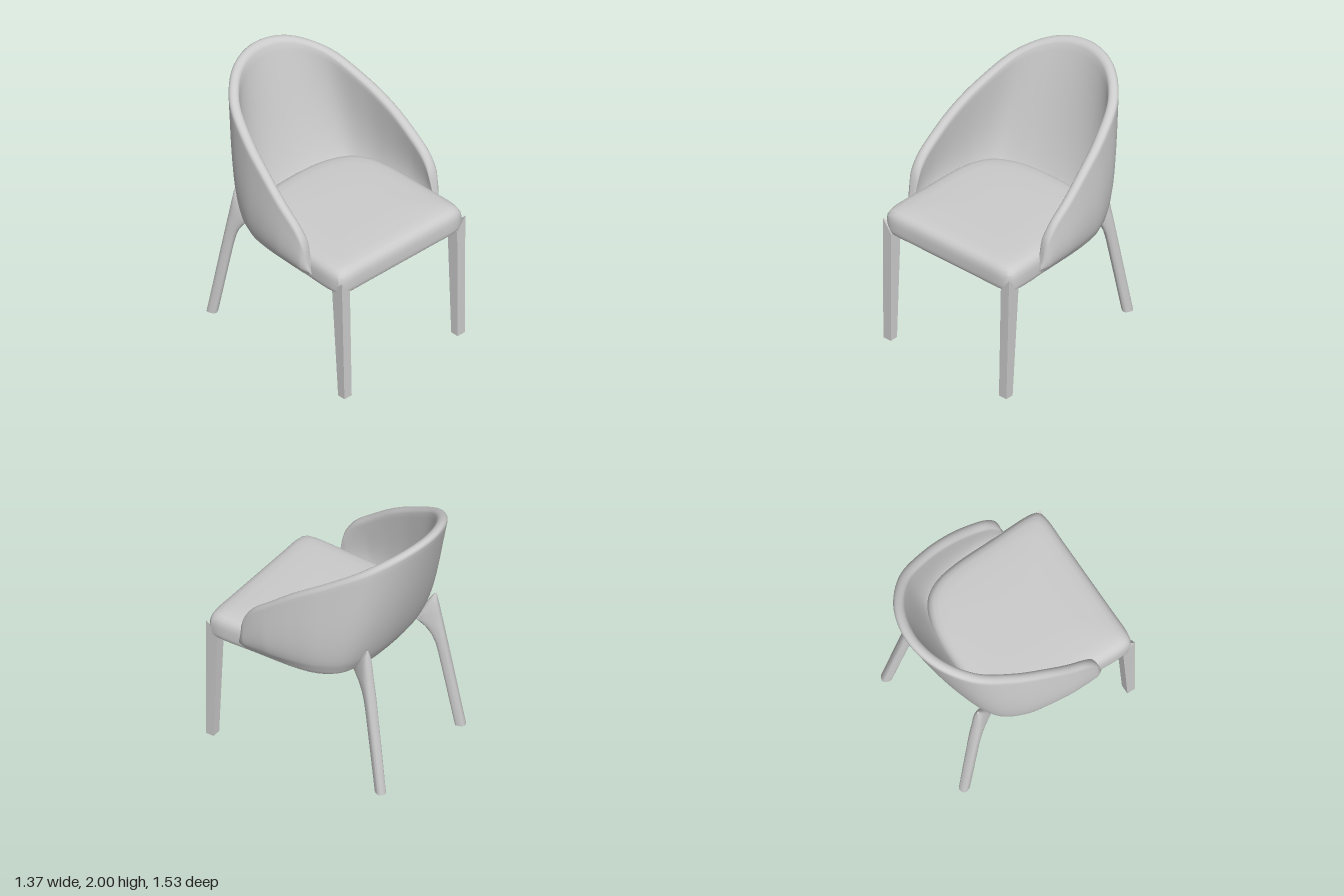
import * as THREE from 'three';
import { toCreasedNormals } from 'three/addons/utils/BufferGeometryUtils.js';

const V = (x, y, z) => new THREE.Vector3(x, y, z);
const material = new THREE.MeshStandardMaterial({ color: 0xcccccc });

// Skin a list of closed rings and cap both ends
function loft(rings, crease) {
  const n = rings[0].length, pos = [], index = [];
  rings.forEach(r => r.forEach(p => pos.push(p.x, p.y, p.z)));
  for (let i = 0; i < rings.length - 1; i++) {
    for (let j = 0; j < n; j++) {
      const a = i * n + j, b = i * n + (j + 1) % n;
      index.push(a, b, b + n, a, b + n, a + n);
    }
  }
  [0, rings.length - 1].forEach((i, end) => {
    const c = rings[i].reduce((s, p) => s.add(p), V(0, 0, 0)).divideScalar(n);
    const ci = pos.length / 3;
    pos.push(c.x, c.y, c.z);
    for (let j = 0; j < n; j++) {
      const a = i * n + j, b = i * n + (j + 1) % n;
      if (end) index.push(ci, a, b); else index.push(ci, b, a);
    }
  });
  const g = new THREE.BufferGeometry();
  g.setAttribute('position', new THREE.Float32BufferAttribute(pos, 3));
  g.setIndex(index);
  return toCreasedNormals(g, crease);
}

function add(group, name, geometry) {
  const mesh = new THREE.Mesh(geometry, material);
  mesh.name = name;
  group.add(mesh);
}

// Upholstered seat: one plan outline, inset layer by layer
function seatGeometry() {
  const half = [[0.3, 0.752], [0.53, 0.748], [0.583, 0.726], [0.602, 0.66], [0.597, 0.35], [0.585, 0],
    [0.555, -0.15], [0.48, -0.27], [0.3, -0.36]];
  const pts = [[0, 0.752], ...half, [0, -0.39], ...half.slice().reverse().map(([x, z]) => [-x, z])];
  const outline = new THREE.CatmullRomCurve3(pts.map(([x, z]) => V(x, 0, z)), true).getSpacedPoints(120).slice(0, -1);
  const layers = [[0.885, 0.01], [0.897, 0.002], [0.92, 0], [0.98, 0], [1.015, 0.005], [1.04, 0.018],
    [1.058, 0.04], [1.068, 0.075], [1.074, 0.14], [1.079, 0.3], [1.08, 0.5]];
  return loft(layers.map(([y, inset]) => {
    const k = 1 - inset / 0.6;
    return outline.map(p => V(p.x * k, y, 0.17 + (p.z - 0.17) * k));
  }), 0.55);
}

// Wraparound back: padded columns swept between a base curve and a rim curve
function shellGeometry() {
  const base = [[0.598, 0.945, 0.452], [0.597, 0.945, 0.39], [0.594, 0.945, 0.28], [0.59, 0.945, 0.15],
    [0.58, 0.945, 0], [0.55, 0.945, -0.16], [0.465, 0.945, -0.3], [0.25, 0.945, -0.37], [0, 0.945, -0.388]];
  const rim = [[0.602, 1.0, 0.44], [0.614, 1.15, 0.4], [0.622, 1.26, 0.325], [0.622, 1.37, 0.19],
    [0.602, 1.515, 0], [0.55, 1.665, -0.24], [0.44, 1.825, -0.5], [0.24, 1.93, -0.67], [0, 1.962, -0.727]];
  const curve = half => new THREE.CatmullRomCurve3(
    [...half, ...half.slice(0, -1).reverse().map(([x, y, z]) => [-x, y, z])].map(p => V(...p)));
  const low = curve(base), high = curve(rim);
  const columns = 112, steps = 18, arc = 8, rings = [];
  for (let i = 0; i <= columns; i++) {
    const t = i / columns;
    const B = low.getPoint(t), T = high.getPoint(t);
    const tan = low.getTangent(t).setY(0).normalize().add(high.getTangent(t).setY(0).normalize());
    const out = V(-tan.z, 0, tan.x).normalize();
    const up = T.clone().sub(B), height = up.length();
    up.normalize();
    const h = 0.038 * Math.min(1, 0.5 + 8 * Math.min(t, 1 - t));
    const bulge = 0.042 * Math.min(1, height / 0.4);
    const point = (v, side) => B.clone().lerp(T, v)
      .addScaledVector(out, bulge * Math.sin(Math.PI * Math.pow(v, 0.6)) + side * h);
    const round = (c, angle) => c.clone()
      .addScaledVector(out, h * Math.cos(angle)).addScaledVector(up, h * Math.sin(angle));
    const ring = [];
    for (let s = steps; s >= 0; s--) ring.push(point(s / steps, 1));
    for (let a = 1; a < arc; a++) ring.push(round(B, -Math.PI * a / arc));
    for (let s = 0; s <= steps; s++) ring.push(point(s / steps, -1));
    for (let a = 1; a < arc; a++) ring.push(round(T, Math.PI * (1 - a / arc)));
    rings.push(ring);
  }
  return loft(rings, 1.0);
}

// Front leg: tapered square post with a mitred top rising to the outer corner
function frontLegGeometry(side) {
  const g = new THREE.BoxGeometry(1, 1, 1);
  const p = g.attributes.position;
  for (let i = 0; i < p.count; i++) {
    const outer = p.getX(i) * side > 0, top = p.getY(i) > 0, front = p.getZ(i) > 0;
    const x = top ? (outer ? 0.593 : 0.515) : (outer ? 0.578 : 0.508);
    const z = top ? (front ? 0.754 : 0.655) : (front ? 0.765 : 0.7);
    p.setXYZ(i, x * side, top ? (outer && front ? 0.995 : 0.89) : 0, z);
  }
  const flat = g.toNonIndexed();
  flat.computeVertexNormals();
  return flat;
}

// Rear leg: splayed diagonally, flared under the seat, tapering to a tip on the shell
function rearLegGeometry(side) {
  const sections = [[0, -0.597, 0.035], [0.35, -0.536, 0.038], [0.62, -0.488, 0.04], [0.7, -0.47, 0.041],
    [0.77, -0.443, 0.042], [0.83, -0.403, 0.043], [0.87, -0.36, 0.044], [0.89, -0.335, 0.044],
    [0.95, -0.37, 0.042], [1.02, -0.41, 0.034], [1.07, -0.44, 0.023], [1.11, -0.465, 0.006]];
  const dx = 0.4, dz = -0.9, n = 24;
  const shift = -0.035;
  return loft(sections.map(([y, zFront, w]) => {
    const zBack = -0.478 - (1.11 - y) * 0.171;
    const mid = (zFront + zBack) / 2, len = (zFront - zBack) / 2 / 0.9;
    const cx = 0.49 + (mid + 0.632) * dx / dz;
    const ring = [];
    for (let j = 0; j < n; j++) {
      const a = -2 * Math.PI * j / n, c = Math.cos(a), s = Math.sin(a);
      const u = Math.sign(c) * Math.pow(Math.abs(c), 0.7) * len;
      const v = Math.sign(s) * Math.pow(Math.abs(s), 0.7) * w;
      ring.push(V(side * (cx + u * dx - v * dz) + shift, y, mid + u * dz + v * dx));
    }
    return side > 0 ? ring : ring.reverse();
  }), 0.7);
}

export function createModel() {
  const chair = new THREE.Group();
  chair.name = 'chair';
  add(chair, 'seat', seatGeometry());
  add(chair, 'backShell', shellGeometry());
  for (const [side, label] of [[1, 'Left'], [-1, 'Right']]) {
    add(chair, 'frontLeg' + label, frontLegGeometry(side));
    add(chair, 'rearLeg' + label, rearLegGeometry(side));
  }
  return chair;
}
